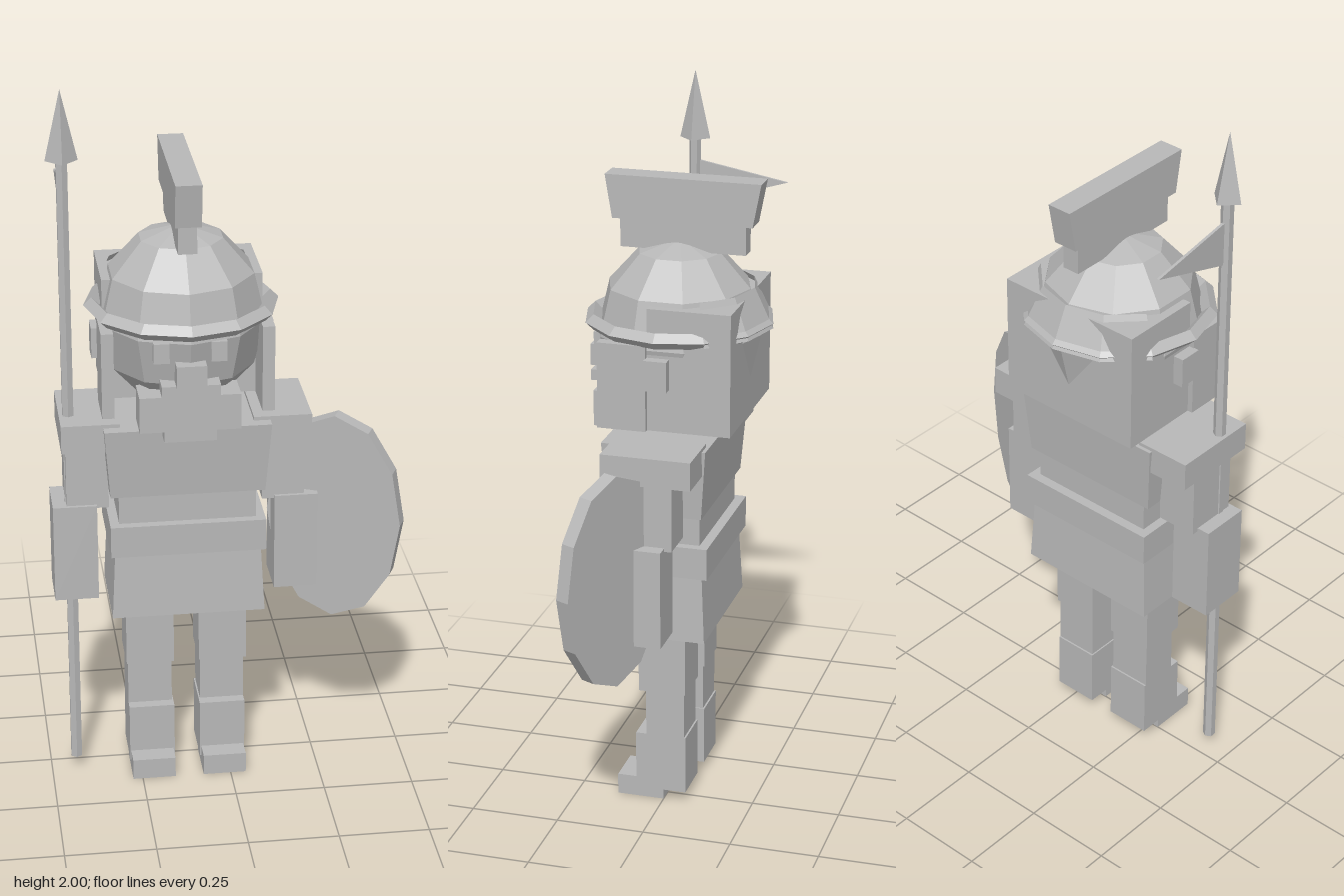
import * as THREE from 'three';

export function createModel() {
  const model = new THREE.Group();
  const stone = new THREE.MeshStandardMaterial({ color: 0xb8b8b8, flatShading: true, side: THREE.DoubleSide });
  stone.name = 'plain grey';

  // The body's midline is offset because the shield reaches out on one side.
  const figure = new THREE.Group();
  figure.name = 'soldier';
  figure.position.x = -0.117;
  model.add(figure);

  function add(name, geometry, parent = figure) {
    const mesh = new THREE.Mesh(geometry, stone);
    mesh.name = name;
    parent.add(mesh);
    return mesh;
  }

  // Box from its limits on each axis.
  function box(name, [x0, x1], [y0, y1], [z0, z1], parent = figure) {
    const g = new THREE.BoxGeometry(x1 - x0, y1 - y0, z1 - z0);
    g.translate((x0 + x1) / 2, (y0 + y1) / 2, (z0 + z1) / 2);
    return add(name, g, parent);
  }

  // Box whose top and bottom have different half widths and depth ranges.
  function taperedBox(name, [y0, y1], bottom, top) {
    const g = new THREE.BoxGeometry(2, y1 - y0, 1);
    const p = g.attributes.position;
    for (let i = 0; i < p.count; i++) {
      const [w, z0, z1] = p.getY(i) > 0 ? top : bottom;
      p.setX(i, p.getX(i) * w);
      p.setZ(i, p.getZ(i) > 0 ? z1 : z0);
    }
    g.translate(0, (y0 + y1) / 2, 0);
    g.computeVertexNormals();
    return add(name, g);
  }

  // Box repeated on both sides of the midline.
  function pair(name, [x0, x1], y, z) {
    box('left ' + name, [x0, x1], y, z);
    box('right ' + name, [-x1, -x0], y, z);
  }

  // Legs and feet
  pair('thigh', [0.035, 0.168], [0.335, 0.54], [-0.065, 0.07]);
  pair('knee', [0.04, 0.163], [0.19, 0.335], [-0.06, 0.05]);
  pair('greave', [0.036, 0.163], [0.03, 0.2], [-0.065, 0.08]);
  pair('foot', [0.04, 0.16], [0, 0.06], [0, 0.135]);

  // Torso
  taperedBox('skirt', [0.52, 0.71], [0.21, -0.13, 0.14], [0.2, -0.12, 0.13]);
  box('belt', [-0.212, 0.212], [0.71, 0.8], [-0.137, 0.15]);
  box('waist', [-0.187, 0.187], [0.8, 0.885], [-0.11, 0.125]);
  taperedBox('chest', [0.885, 1.085], [0.21, -0.12, 0.14], [0.225, -0.135, 0.157]);
  box('neck', [-0.07, 0.07], [1.05, 1.17], [-0.08, 0.08]);

  // Arms
  pair('shoulder guard', [0.18, 0.338], [1.015, 1.095], [-0.125, 0.125]);
  pair('upper arm', [0.21, 0.325], [0.83, 1.02], [-0.07, 0.08]);
  pair('forearm', [0.243, 0.363], [0.56, 0.84], [-0.05, 0.09]);

  // Head with the rounded crown
  const head = new THREE.SphereGeometry(0.229, 10, 6);
  head.rotateY(Math.PI / 2);
  head.scale(1, 0.255 / 0.229, 1);
  head.translate(0, 1.355, 0);
  add('head', head);
  box('back of head', [-0.215, 0.215], [1.13, 1.47], [-0.2, 0.03]);
  pair('cheek guard', [0.197, 0.23], [1.13, 1.37], [0.03, 0.165]);
  pair('ear', [0.215, 0.245], [1.25, 1.335], [-0.032, 0.032]);

  // Face
  pair('eye', [0.055, 0.097], [1.3, 1.355], [0.17, 0.215]);
  box('nose', [-0.04, 0.04], [1.24, 1.3], [0.18, 0.243]);
  box('mouth', [-0.078, 0.078], [1.21, 1.24], [0.17, 0.23]);
  box('beard', [-0.135, 0.135], [1.1, 1.2], [0.11, 0.205]);
  box('beard tip', [-0.07, 0.07], [1.07, 1.1], [0.14, 0.205]);

  // Helmet brim and flared neck guard
  const brim = new THREE.TorusGeometry(0.24, 0.022, 4, 12);
  brim.rotateX(Math.PI / 2);
  brim.translate(0, 1.39, 0);
  add('helmet brim', brim);
  const guard = new THREE.CylinderGeometry(0.21, 0.262, 0.11, 4, 1, true, Math.PI * 2 / 3, Math.PI * 2 / 3);
  guard.translate(0, 1.432, 0);
  add('neck guard', guard);

  // Crest
  box('crest holder', [-0.025, 0.025], [1.58, 1.66], [-0.19, 0.16]);
  taperedBox('crest', [1.66, 1.78], [0.035, -0.21, 0.18], [0.035, -0.233, 0.2]);

  // Spear with pennant
  const spear = new THREE.Group();
  spear.name = 'spear';
  spear.position.set(-0.43, 0, 0.045);
  model.add(spear);
  const shaft = new THREE.CylinderGeometry(0.017, 0.017, 1.77, 6);
  shaft.translate(0, 0.925, 0);
  add('spear shaft', shaft, spear);
  const tip = new THREE.ConeGeometry(0.043, 0.19, 4);
  tip.translate(0, 1.905, 0);
  add('spear tip', tip, spear);
  const flag = new THREE.Shape([
    new THREE.Vector2(0, 1.62), new THREE.Vector2(0.265, 1.7), new THREE.Vector2(0, 1.75),
  ]);
  const pennant = new THREE.ExtrudeGeometry(flag, { depth: 0.008, bevelEnabled: false });
  pennant.translate(0, 0, -0.004);
  pennant.rotateY(Math.PI / 2);
  add('pennant', pennant, spear);

  // Oval shield, turned outward on the left arm
  const oval = new THREE.CylinderGeometry(1, 1, 0.042, 12);
  oval.rotateX(Math.PI / 2);
  oval.scale(0.19, 0.303, 1);
  oval.rotateY(-0.44);
  oval.translate(0.297, 0.767, 0.072);
  add('shield', oval, model);

  return model;
}
